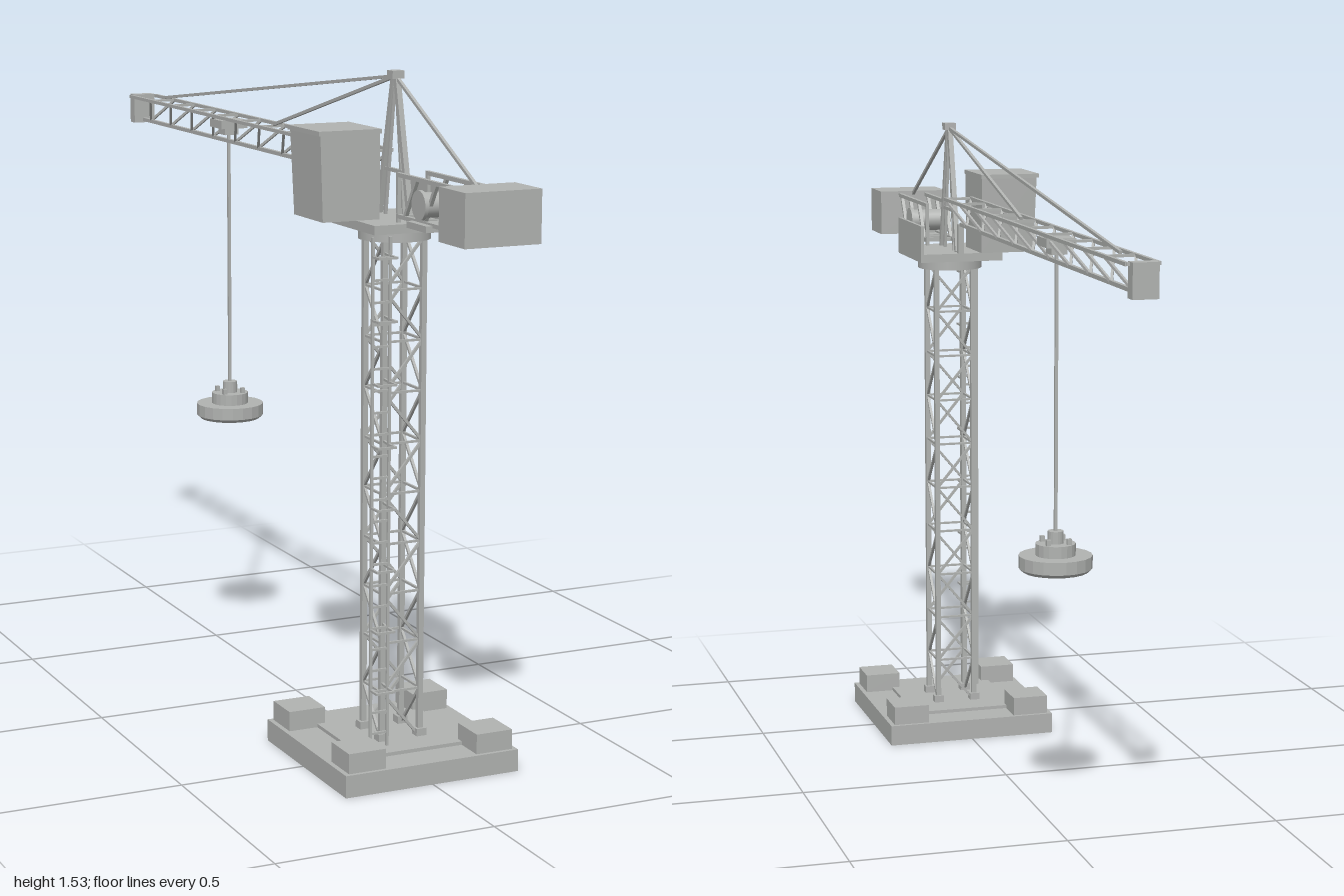
import * as THREE from 'three';

export function createModel() {
  const root = new THREE.Group();
  root.name = 'towerCrane';
  const steel = new THREE.MeshStandardMaterial({ color: 0xb0b2b0 });
  steel.name = 'grey steel';
  const CZ = 0.515; // tower axis

  const group = (name) => {
    const g = new THREE.Group();
    g.name = name;
    root.add(g);
    return g;
  };
  const add = (g, name, geo, x = 0, y = 0, z = 0) => {
    const m = new THREE.Mesh(geo, steel);
    m.name = name;
    m.position.set(x, y, z);
    g.add(m);
    return m;
  };
  // box given by its limits on each axis
  const box = (g, name, x0, x1, y0, y1, z0, z1) =>
    add(g, name, new THREE.BoxGeometry(x1 - x0, y1 - y0, z1 - z0), (x0 + x1) / 2, (y0 + y1) / 2, (z0 + z1) / 2);
  // square bar between two points
  const bar = (g, name, a, b, t = 0.006) => {
    const A = new THREE.Vector3(...a), B = new THREE.Vector3(...b);
    const m = add(g, name, new THREE.BoxGeometry(t, t, A.distanceTo(B)));
    m.position.copy(A).add(B).multiplyScalar(0.5);
    m.lookAt(B);
    return m;
  };

  // Foundation with corner ballast
  const base = group('base');
  box(base, 'baseSlab', -0.21, 0.21, 0, 0.05, CZ - 0.208, CZ + 0.208);
  box(base, 'baseDeck', -0.13, 0.13, 0.05, 0.058, CZ - 0.13, CZ + 0.13);
  for (const sx of [-1, 1]) for (const sz of [-1, 1]) {
    const x = sx * 0.155, z = CZ + sz * 0.155;
    box(base, 'ballastBlock', x - 0.044, x + 0.044, 0.05, 0.095, z - 0.044, z + 0.044);
  }

  // Lattice mast
  const mast = group('mast');
  const H = 0.047, Y0 = 0.055, Y1 = 1.18, N = 10, step = (Y1 - Y0) / N;
  const corners = [[-H, -H], [H, -H], [H, H], [-H, H]];
  corners.forEach(([x, z], i) => {
    box(mast, 'mastLeg', x - 0.006, x + 0.006, Y0, Y1, CZ + z - 0.006, CZ + z + 0.006);
    box(mast, 'mastFoot', x - 0.012, x + 0.012, Y0, 0.075, CZ + z - 0.012, CZ + z + 0.012);
    const [u, w] = corners[(i + 1) % 4];
    for (let k = 0; k < N; k++) {
      const y = Y0 + k * step;
      const lo = k % 2 ? [u, w] : [x, z], hi = k % 2 ? [x, z] : [u, w];
      bar(mast, 'mastDiagonal', [lo[0], y, CZ + lo[1]], [hi[0], y + step, CZ + hi[1]]);
      if (k) bar(mast, 'mastHorizontal', [x, y, CZ + z], [u, y, CZ + w], 0.005);
    }
  });

  // Access ladder with guard hoops
  const ladder = group('ladder');
  const LX0 = -0.093, LX1 = -0.052, LZ = 0.6;
  for (const x of [LX0, LX1]) bar(ladder, 'ladderRail', [x, 0.055, LZ], [x, 1.19, LZ]);
  for (let y = 0.09; y < 1.18; y += 0.048) bar(ladder, 'ladderRung', [LX0, y, LZ], [LX1, y, LZ], 0.005);
  for (let k = 0; k < 8; k++) {
    const y = 0.19 + k * 0.137;
    for (const x of [LX0, LX1]) bar(ladder, 'hoopSide', [x, y, LZ], [x, y, 0.634], 0.005);
    bar(ladder, 'hoopFront', [LX0, y, 0.632], [LX1, y, 0.632], 0.005);
    bar(ladder, 'ladderBracket', [LX1, y, LZ], [-H, y, CZ + H], 0.005);
  }

  // Slewing ring and turntable platform
  const turret = group('turret');
  add(turret, 'slewingRing', new THREE.CylinderGeometry(0.08, 0.08, 0.026, 20), 0, 1.187, CZ);
  box(turret, 'platform', -0.105, 0.103, 1.2, 1.22, 0.4, 0.632);
  box(turret, 'sideGuard', 0.095, 0.103, 1.22, 1.29, 0.4, 0.632);

  // Operator cab, slightly narrower at the bottom, with a roof slab
  const cab = group('cab');
  const body = new THREE.BoxGeometry(0.14, 0.185, 0.155);
  const p = body.attributes.position;
  for (let i = 0; i < p.count; i++) if (p.getY(i) < 0) {
    if (p.getX(i) < 0) p.setX(i, p.getX(i) + 0.006);
    if (p.getZ(i) < 0) p.setZ(i, p.getZ(i) + 0.008);
  }
  body.computeVertexNormals();
  add(cab, 'cabBody', body, -0.12, 1.3125, 0.466);
  box(cab, 'cabRoof', -0.195, -0.048, 1.404, 1.414, 0.385, 0.548);

  // A-frame tower head
  const head = group('towerHead');
  for (const s of [-1, 1]) {
    bar(head, 'headLeg', [0, 1.22, CZ + s * 0.075], [0, 1.525, CZ + s * 0.005], 0.012);
    bar(head, 'headInnerLeg', [0, 1.22, CZ + s * 0.045], [0, 1.5, CZ + s * 0.006], 0.007);
  }
  bar(head, 'headCrossbar', [0, 1.32, CZ - 0.055], [0, 1.32, CZ + 0.055], 0.008);
  box(head, 'headCap', -0.014, 0.014, 1.517, 1.534, CZ - 0.014, CZ + 0.014);

  // Jib: two upper chords and one lower chord
  const jib = group('jib');
  const JX = 0.034, JT = 1.353, JB = 1.292, JZ = 0.43, JE = -0.98, P = 10, dz = (JE - JZ) / P;
  for (const s of [-1, 1]) bar(jib, 'jibUpperChord', [s * JX, JT, JZ], [s * JX, JT, JE], 0.008);
  bar(jib, 'jibLowerChord', [0, JB, JZ - 0.03], [0, JB, JE], 0.009);
  for (let k = 0; k <= P; k++) {
    const z = JZ + k * dz;
    bar(jib, 'jibCrossbar', [-JX, JT, z], [JX, JT, z]);
    for (const s of [-1, 1]) if (k < P) bar(jib, 'jibDiagonal', [s * JX, JT, z], [0, JB, z + dz * 0.6]);
  }
  box(jib, 'jibEndPlate', -0.028, 0.028, 1.284, 1.358, -1, -0.97);
  bar(jib, 'jibRootBeam', [0, 1.22, 0.41], [0, JB, 0.41], 0.014);

  // Counter-jib frame
  const rear = group('counterJib');
  for (const s of [-1, 1]) {
    const x = s * 0.035;
    for (const y of [1.234, 1.322]) bar(rear, 'counterChord', [x, y, 0.6], [x, y, 0.92], 0.009);
    bar(rear, 'counterPost', [x, 1.22, 0.603], [x, 1.322, 0.603], 0.008);
    for (let k = 0; k < 3; k++)
      bar(rear, 'counterDiagonal', [x, 1.322, 0.87 - k * 0.09], [x, 1.234, 0.815 - k * 0.09], 0.008);
  }
  for (let k = 0; k < 4; k++) {
    const z = 0.62 + k * 0.08;
    bar(rear, 'counterCrossbar', [-0.035, 1.234, z], [0.035, 1.234, z]);
  }
  box(rear, 'counterweight', -0.087, 0.087, 1.22, 1.332, 0.888, 1);

  // Hoist winch
  const winch = group('winch');
  box(winch, 'winchBed', -0.055, 0.055, 1.22, 1.234, 0.68, 0.77);
  const drum = add(winch, 'winchDrum', new THREE.CylinderGeometry(0.027, 0.027, 0.09, 20), 0, 1.272, 0.727);
  drum.rotation.z = Math.PI / 2;
  for (const s of [-1, 1]) {
    add(winch, 'drumFlange', new THREE.CylinderGeometry(0.032, 0.032, 0.008, 20), s * 0.047, 1.272, 0.727).rotation.z = Math.PI / 2;
  }

  // Tie rods from the tower head
  const ties = group('tieRods');
  for (const [y, z] of [[1.325, 0.89], [1.358, -0.125], [1.36, -0.84]])
    bar(ties, 'tieRod', [0, 1.522, CZ], [0, y, z], 0.007);

  // Trolley, hoist rope and round load block
  const hoist = group('hoist');
  const TZ = -0.4;
  box(hoist, 'trolley', -0.034, 0.034, 1.325, 1.345, TZ - 0.037, TZ + 0.037);
  box(hoist, 'trolleyBlock', -0.018, 0.018, 1.308, 1.325, TZ - 0.02, TZ + 0.02);
  bar(hoist, 'rope', [0, 0.68, TZ], [0, 1.31, TZ], 0.007);
  const profile = [[0, 0.598], [0.074, 0.598], [0.083, 0.606], [0.083, 0.635], [0.045, 0.635],
    [0.045, 0.662], [0.018, 0.662], [0.018, 0.69], [0, 0.69]].map(([r, y]) => new THREE.Vector2(r, y));
  const load = new THREE.LatheGeometry(profile, 20).toNonIndexed();
  load.computeVertexNormals();
  add(hoist, 'loadBlock', load, 0, 0, TZ);
  for (let i = 0; i < 4; i++) {
    const a = Math.PI / 4 + i * Math.PI / 2;
    add(hoist, 'loadLug', new THREE.BoxGeometry(0.01, 0.014, 0.01), 0.034 * Math.cos(a), 0.668, TZ + 0.034 * Math.sin(a));
  }
  return root;
}
